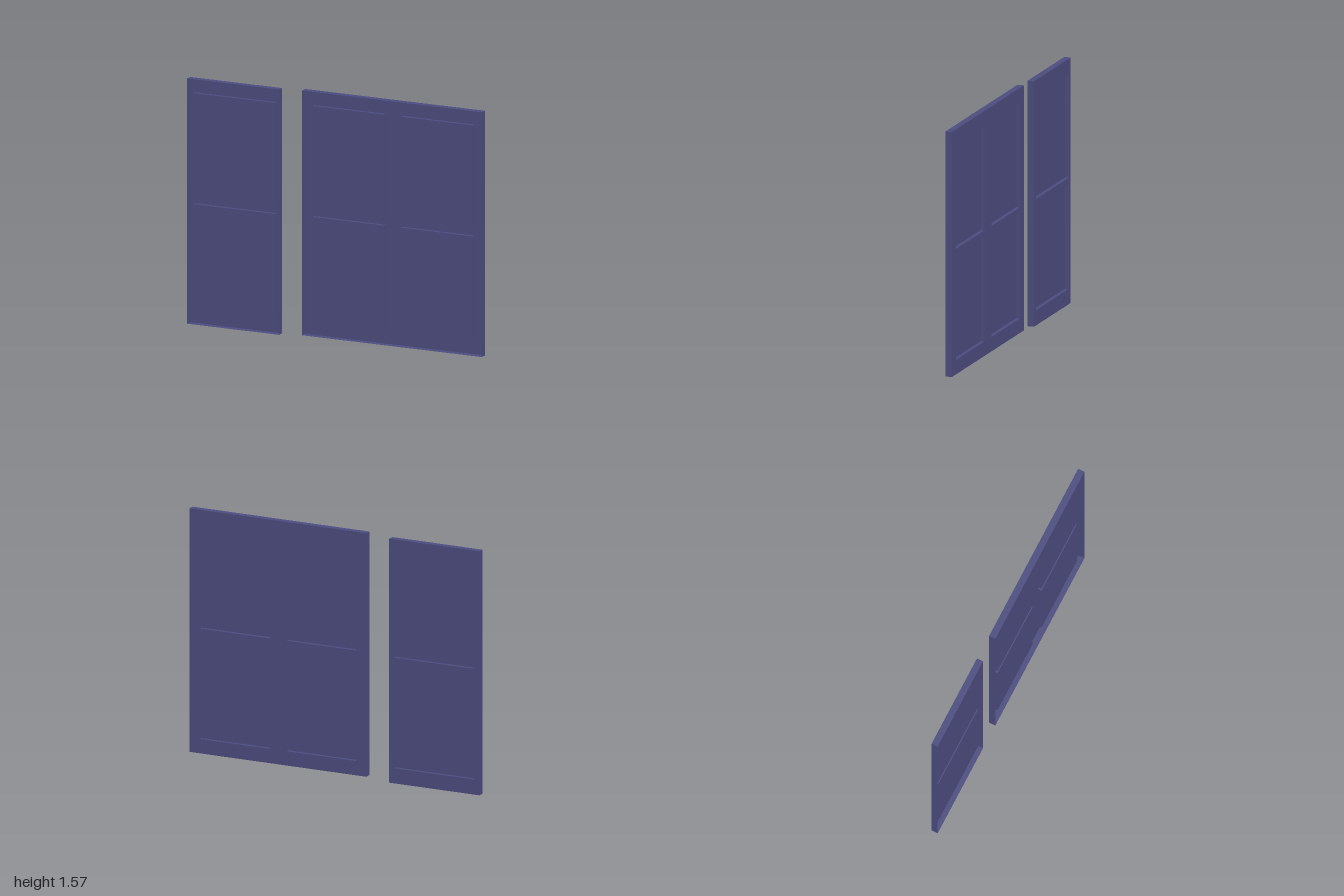
import * as THREE from 'three';
import { mergeGeometries } from 'three/addons/utils/BufferGeometryUtils.js';

const material = new THREE.MeshStandardMaterial({ color: 0x4c4c80, side: THREE.DoubleSide });

// Four walls around a rectangle, facing outward or into the opening
function wallLoop([x0, x1, y0, y1], z0, z1, inward) {
  const w = x1 - x0, h = y1 - y0, d = z1 - z0, turn = inward ? Math.PI : 0;
  const cx = (x0 + x1) / 2, cy = (y0 + y1) / 2, cz = (z0 + z1) / 2;
  const side = (x, angle) =>
    new THREE.PlaneGeometry(d, h).rotateY(angle + turn).translate(x, cy, cz);
  const cap = (y, angle) =>
    new THREE.PlaneGeometry(w, d).rotateX(angle + turn).translate(cx, y, cz);
  return mergeGeometries([
    side(x1, Math.PI / 2), side(x0, -Math.PI / 2),
    cap(y1, -Math.PI / 2), cap(y0, Math.PI / 2),
  ]);
}

// Rectangle outline, mirrored in x because the face is turned to the back
function outline(PathType, [x0, x1, y0, y1]) {
  return new PathType([[-x0, y0], [-x1, y0], [-x1, y1], [-x0, y1]]
    .map(([x, y]) => new THREE.Vector2(x, y)));
}

// A shallow shell, open at the front, with panels pressed in from the back
function createLeaf(name, bounds, windows, zBack, zFront, depth) {
  const leaf = new THREE.Group();
  leaf.name = name;
  const add = (part, geometry) => {
    const mesh = new THREE.Mesh(geometry, material);
    mesh.name = part;
    leaf.add(mesh);
  };

  add('outerRim', wallLoop(bounds, zBack, zFront, false));

  const shape = outline(THREE.Shape, bounds);
  windows.forEach((win) => shape.holes.push(outline(THREE.Path, win)));
  add('backFrame', new THREE.ShapeGeometry(shape).rotateY(Math.PI).translate(0, 0, zBack));

  for (const win of windows) {
    const [x0, x1, y0, y1] = win;
    add('recessWalls', wallLoop(win, zBack, zBack + depth, true));
    add('recessedPanel', new THREE.PlaneGeometry(x1 - x0, y1 - y0).rotateY(Math.PI)
      .translate((x0 + x1) / 2, (y0 + y1) / 2, zBack + depth));
  }
  return leaf;
}

// Every column of panels crossed with every row
const grid = (columns, rows) => columns.flatMap((c) => rows.map((r) => [...c, ...r]));

export function createModel() {
  const model = new THREE.Group();
  model.name = 'panelledShutters';
  model.add(
    createLeaf('narrowLeaf', [-1, -0.378, 0, 1.553],
      grid([[-0.967, -0.412]], [[0.096, 0.757], [0.8, 1.46]]), -0.023, 0.019, 0.025),
    createLeaf('wideLeaf', [-0.219, 1, 0.016, 1.566],
      grid([[-0.153, 0.328], [0.447, 0.932]], [[0.107, 0.768], [0.81, 1.471]]), -0.02, 0.023, 0.025),
  );
  return model;
}
